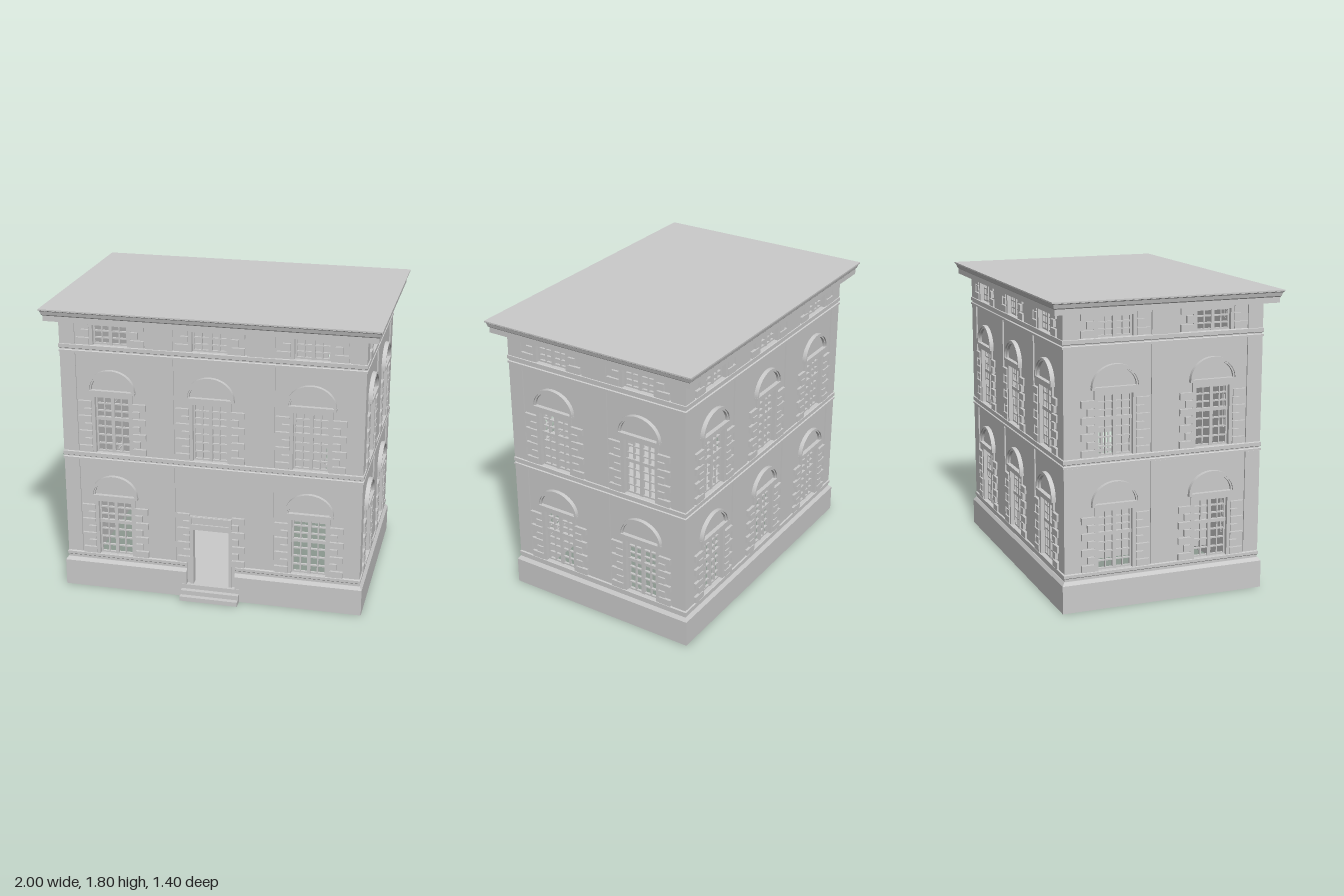
import * as THREE from 'three';
import { mergeGeometries } from 'three/addons/utils/BufferGeometryUtils.js';

const HX = 0.902, HZ = 0.602; // half sizes of the wall planes
const mat = new THREE.MeshStandardMaterial({ color: 0xcccccc, side: THREE.DoubleSide });

// box from its limits
function box(x0, x1, y0, y1, z0, z1) {
  return new THREE.BoxGeometry(x1 - x0, y1 - y0, z1 - z0)
    .translate((x0 + x1) / 2, (y0 + y1) / 2, (z0 + z1) / 2);
}

function rectPoints(x0, x1, y0, y1) {
  return [[x0, y0], [x1, y0], [x1, y1], [x0, y1]].map(p => new THREE.Vector2(...p));
}

// flat plate with rectangular holes [x0, x1, y0, y1]
function plate(outer, holes, z0, z1) {
  const s = new THREE.Shape(rectPoints(...outer));
  holes.forEach(h => s.holes.push(new THREE.Path(rectPoints(...h))));
  return new THREE.ExtrudeGeometry(s, { depth: z1 - z0, bevelEnabled: false }).translate(0, 0, z0);
}

// profile [outward, y] run along x from u0 to u1, mitred at chosen ends
function moulding(profile, u0, u1, mitre0, mitre1) {
  const s = new THREE.Shape(profile.map(p => new THREE.Vector2(...p)));
  const g = new THREE.ExtrudeGeometry(s, { depth: 1, bevelEnabled: false });
  const p = g.attributes.position;
  for (let i = 0; i < p.count; i++) {
    const o = p.getX(i), end = p.getZ(i) < 0.5;
    p.setXYZ(i, end ? u1 + (mitre1 ? o : 0) : u0 - (mitre0 ? o : 0), p.getY(i), o);
  }
  g.computeVertexNormals();
  return g;
}

// half-elliptical band over a window
function arch(cx, y, rx, ry, width, z0, z1) {
  const s = new THREE.Shape();
  s.absellipse(cx, y, rx, ry, 0, Math.PI, false);
  s.lineTo(cx - rx + width, y);
  s.absellipse(cx, y, rx - width, ry - width, Math.PI, 0, true);
  s.closePath();
  return new THREE.ExtrudeGeometry(s, { depth: z1 - z0, bevelEnabled: false, curveSegments: 20 })
    .translate(0, 0, z0);
}

function addMesh(group, name, geos) {
  if (!geos.length) return;
  const clean = geos.map(g => {
    const n = g.index ? g.toNonIndexed() : g;
    n.deleteAttribute('uv');
    return n;
  });
  const mesh = new THREE.Mesh(mergeGeometries(clean), mat);
  mesh.name = name;
  group.add(mesh);
}

// glazing bars: four columns, rows split by an optional transom
function glazing(cx, y0, y1, transom) {
  const z0 = -0.03, z1 = -0.015, w = 0.105, out = [];
  out.push(plate([cx - w, cx + w, y0, y1], [[cx - w + 0.01, cx + w - 0.01, y0 + 0.01, y1 - 0.01]], z0, z1));
  out.push(box(cx - 0.01, cx + 0.01, y0, y1, z0, z1 + 0.005));
  for (const s of [-1, 1]) out.push(box(cx + s * 0.0525 - 0.004, cx + s * 0.0525 + 0.004, y0, y1, z0, z1));
  const spans = transom ? [[y0, transom, 4], [transom, y1, 3]] : [[y0, y1, 3]];
  if (transom) out.push(box(cx - w, cx + w, transom - 0.01, transom + 0.01, z0, z1 + 0.005));
  for (const [a, b, n] of spans)
    for (let i = 1; i < n; i++) {
      const y = a + (b - a) * i / n;
      out.push(box(cx - w, cx + w, y - 0.004, y + 0.004, z0, z1));
    }
  return out;
}

// alternating long and short blocks beside an opening
function quoins(cx, y0, n, pitch, inner) {
  const out = [];
  for (let i = 0; i < n; i++)
    for (const s of [-1, 1]) {
      const a = cx + s * inner, b = cx + s * (i % 2 ? 0.172 : 0.208);
      const y = y0 + i * pitch;
      out.push(box(Math.min(a, b), Math.max(a, b), y, y + pitch - 0.008, 0, 0.017));
    }
  return out;
}

const FLOORS = [
  { y0: 0.225, y1: 0.58, transom: 0.44, n: 7, pitch: 0.0475, arched: true },
  { y0: 0.9, y1: 1.255, transom: 1.115, n: 7, pitch: 0.0475, arched: true },
  { y0: 1.577, y1: 1.7, transom: 0, n: 3, pitch: 0.049, arched: false },
];
const STOREYS = [[0.23, 0.845], [0.9, 1.525], [1.575, 1.73]];

const BASE = [[0, 0], [0.026, 0], [0.026, 0.165], [0.012, 0.185], [0, 0.185]];
const SILL = [[0, 0.185], [0.008, 0.185], [0.008, 0.2], [0.014, 0.205], [0.014, 0.222], [0, 0.225]];
const belt = y => [[0, y], [0.014, y], [0.014, y + 0.012], [0.007, y + 0.016],
  [0.007, y + 0.022], [0.014, y + 0.026], [0.014, y + 0.048], [0, y + 0.052]];
const CORNICE = [[-0.03, 1.725], [0.078, 1.725], [0.078, 1.758], [0.084, 1.764],
  [0.09, 1.785], [0.098, 1.792], [0.098, 1.8], [-0.03, 1.8]];

function facade(name, half, centres, pilasters, hasDoor) {
  const g = new THREE.Group();
  g.name = name;
  const holes = [], glass = [], frames = [], blocks = [], hoods = [], piers = [], base = [], bands = [];

  for (const cx of centres)
    FLOORS.forEach((f, level) => {
      if (hasDoor && level === 0 && cx === 0) return;
      const hole = [cx - 0.105, cx + 0.105, f.y0, f.y1];
      holes.push(hole);
      glass.push(...glazing(cx, f.y0, f.y1, f.transom));
      const top = f.arched ? f.y1 + 0.03 : f.y1 + 0.02;
      frames.push(plate([cx - 0.128, cx + 0.128, f.y0, top], [hole], -0.005, 0.01));
      blocks.push(...quoins(cx, f.y0 + 0.003, f.n, f.pitch, 0.126));
      if (f.arched) {
        const y = f.y1 + 0.03;
        hoods.push(box(cx - 0.147, cx + 0.147, y, y + 0.015, 0, 0.026));
        hoods.push(arch(cx, y + 0.015, 0.146, 0.128, 0.014, 0, 0.026));
        hoods.push(arch(cx, y + 0.015, 0.133, 0.115, 0.01, 0, 0.016));
      }
    });

  // entrance surround
  if (hasDoor) {
    holes.push([-0.11, 0.11, 0.083, 0.45]);
    frames.push(plate([-0.13, 0.13, 0.083, 0.475], [[-0.11, 0.11, 0.0835, 0.45]], -0.005, 0.012));
    frames.push(box(-0.128, 0.128, 0.475, 0.54, 0, 0.012));
    frames.push(plate([-0.128, 0.128, 0.48, 0.538], [[-0.116, 0.116, 0.49, 0.528]], 0.01, 0.022));
    blocks.push(...quoins(0, 0.228, 7, 0.0475, 0.13));
  }

  // corner and intermediate pilasters
  for (const [y0, y1] of STOREYS) {
    const p = [[0, y0], [0.009, y0], [0.009, y1], [0, y1]];
    piers.push(moulding(p, -half, -half + 0.085, true, false), moulding(p, half - 0.085, half, false, true));
    for (const [a, b] of pilasters) piers.push(box(a, b, y0, y1, 0, 0.009));
  }

  // plinth and lower band stop either side of the entrance
  const runs = hasDoor ? [[-half, -0.15, true, false], [0.15, half, false, true]] : [[-half, half, true, true]];
  for (const r of runs) {
    base.push(moulding(BASE, ...r));
    bands.push(moulding(SILL, ...r));
  }
  for (const y of [0.847, 1.525]) bands.push(moulding(belt(y), -half, half, true, true));

  addMesh(g, 'wall', [plate([-half, half, 0.01, 1.76], holes, -0.035, 0)]);
  addMesh(g, 'windowBars', glass);
  addMesh(g, 'openingSurrounds', frames);
  addMesh(g, 'quoins', blocks);
  addMesh(g, 'archedHoods', hoods);
  addMesh(g, 'pilasters', piers);
  addMesh(g, 'plinth', base);
  addMesh(g, 'floorBands', bands);
  addMesh(g, 'cornice', [moulding(CORNICE, -half, half, true, true)]);
  return g;
}

export function createModel() {
  const model = new THREE.Group();
  model.name = 'townhouse';

  const wideCentres = [-0.6, 0, 0.6], widePilasters = [[-0.385, -0.22], [0.22, 0.385]];
  const sideCentres = [-0.3, 0.3], sidePilasters = [[-0.082, 0.082]];
  ['front', 'left', 'back', 'right'].forEach((side, i) => {
    const wide = i % 2 === 0;
    const f = wide
      ? facade(side + 'Facade', HX, wideCentres, widePilasters, i === 0)
      : facade(side + 'Facade', HZ, sideCentres, sidePilasters, false);
    const a = i * Math.PI / 2, d = wide ? HZ : HX;
    f.rotation.y = a;
    f.position.set(Math.sin(a) * d, 0, Math.cos(a) * d);
    model.add(f);
  });

  addMesh(model, 'roof', [box(-HX - 0.097, HX + 0.097, 1.79, 1.8, -HZ - 0.097, HZ + 0.097)]);

  // entrance hall, open towards the door
  const hall = box(-0.315, 0.315, 0.08, 0.452, -0.21, HZ - 0.035);
  hall.setIndex([...hall.index.array].filter((_, i) => i < 24 || i >= 30));
  addMesh(model, 'entranceHall', [hall]);

  // entrance steps
  addMesh(model, 'steps', [0, 1, 2].map(i =>
    box(-0.18, 0.18, i * 0.028, (i + 1) * 0.028, HZ - 0.035, 0.692 - i * 0.03)));
  return model;
}
